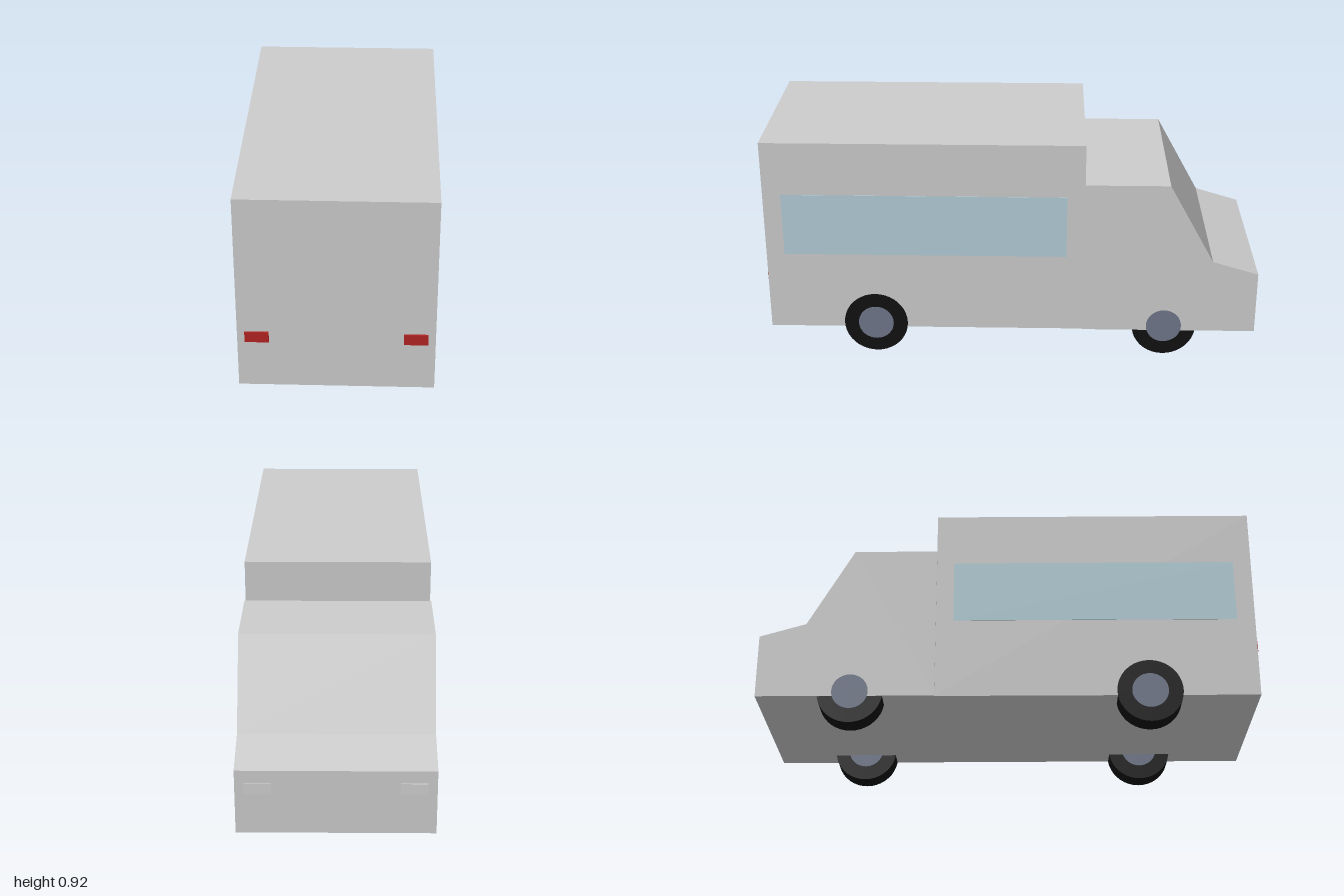
import * as THREE from 'three';

const mat = (name, color) => {
  const m = new THREE.MeshStandardMaterial({ color });
  m.name = name;
  return m;
};

export function createModel() {
  const van = new THREE.Group();
  van.name = 'boxVan';
  const paint = mat('bodyGrey', 0xcccccc);
  const glass = mat('paleBlueGlass', 0xb2ccd6);
  const red = mat('tailLightRed', 0xb22222);
  const lamp = mat('headlightGrey', 0xcfcfcf);
  const rubber = mat('tyreBlack', 0x111111);
  const steel = mat('hubGrey', 0x70778a);

  const add = (name, geometry, material, x = 0, y = 0, z = 0) => {
    const mesh = new THREE.Mesh(geometry, material);
    mesh.name = name;
    mesh.position.set(x, y, z);
    van.add(mesh);
    return mesh;
  };

  // Cargo box, with its tail towards +z
  add('cargoBox', new THREE.BoxGeometry(0.736, 0.81, 1.284), paint, 0, 0.515, 0.351);

  // Cab: side profile in (z, y), extruded across the width
  const profile = [[-0.29, 0.11], [-0.29, 0.755], [-0.627, 0.755], [-0.81, 0.425], [-0.995, 0.37], [-0.995, 0.11]];
  const shape = new THREE.Shape(profile.map(([z, y]) => new THREE.Vector2(z, y)));
  const cab = new THREE.ExtrudeGeometry(shape, { depth: 0.746, bevelEnabled: false });
  cab.rotateY(-Math.PI / 2).translate(0.373, 0, 0);
  add('cab', cab, paint);

  // Tyre and hub run across the body; the hub stands slightly proud on both faces
  const tyre = new THREE.CylinderGeometry(0.13, 0.13, 0.09, 40).rotateZ(Math.PI / 2);
  const hub = new THREE.CylinderGeometry(0.072, 0.072, 0.097, 32).rotateZ(Math.PI / 2);

  for (const [side, s] of [['left', 1], ['right', -1]]) {
    add(side + 'Window', new THREE.BoxGeometry(0.006, 0.26, 1.14), glass, s * 0.367, 0.57, 0.35);
    add(side + 'TailLight', new THREE.BoxGeometry(0.09, 0.044, 0.009), red, s * 0.295, 0.332, 0.9955);
    add(side + 'Headlight', new THREE.BoxGeometry(0.1, 0.044, 0.009), lamp, s * 0.288, 0.298, -0.9955);
    for (const [end, z] of [['Front', -0.623], ['Rear', 0.56]]) {
      add(side + end + 'Tyre', tyre, rubber, s * 0.3255, 0.13, z);
      add(side + end + 'Hub', hub, steel, s * 0.3255, 0.13, z);
    }
  }
  return van;
}
